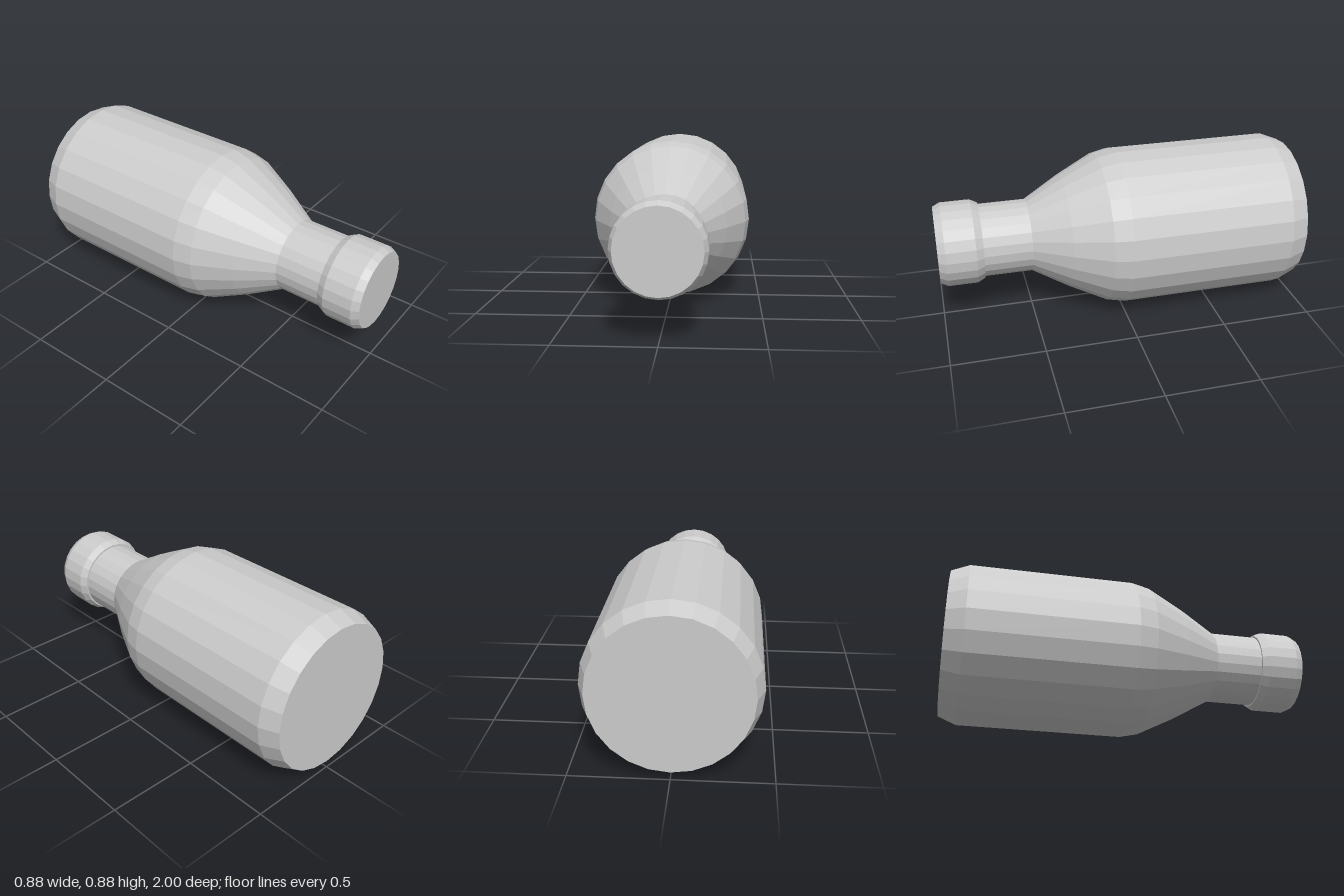
import * as THREE from 'three';

const SIDES = 24;
const RADIUS = 0.44;

// Faceted solid of revolution along z, from [radius, z] pairs ordered back to front
function turned(name, profile, material) {
  const points = profile.map(([r, z]) => new THREE.Vector2(r, z));
  const geometry = new THREE.LatheGeometry(points, SIDES);
  geometry.rotateX(Math.PI / 2);
  const mesh = new THREE.Mesh(geometry, material);
  mesh.name = name;
  mesh.position.y = RADIUS;
  return mesh;
}

export function createModel() {
  const group = new THREE.Group();
  group.name = 'bottle';
  const material = new THREE.MeshStandardMaterial({ color: 0xcccccc, flatShading: true });

  // Body lying on its side: chamfered base, straight wall, sloping shoulder, neck
  group.add(turned('bottleBody', [
    [0, -1], [0.4, -1], [RADIUS, -0.9], [RADIUS, 0],
    [0.418, 0.1], [0.317, 0.3], [0.2, 0.5], [0.2, 0.77],
  ], material));

  // Cap with chamfered rims
  group.add(turned('cap', [
    [0, 0.76], [0.21, 0.76], [0.23, 0.8], [0.23, 0.96], [0.21, 1], [0, 1],
  ], material));

  return group;
}
